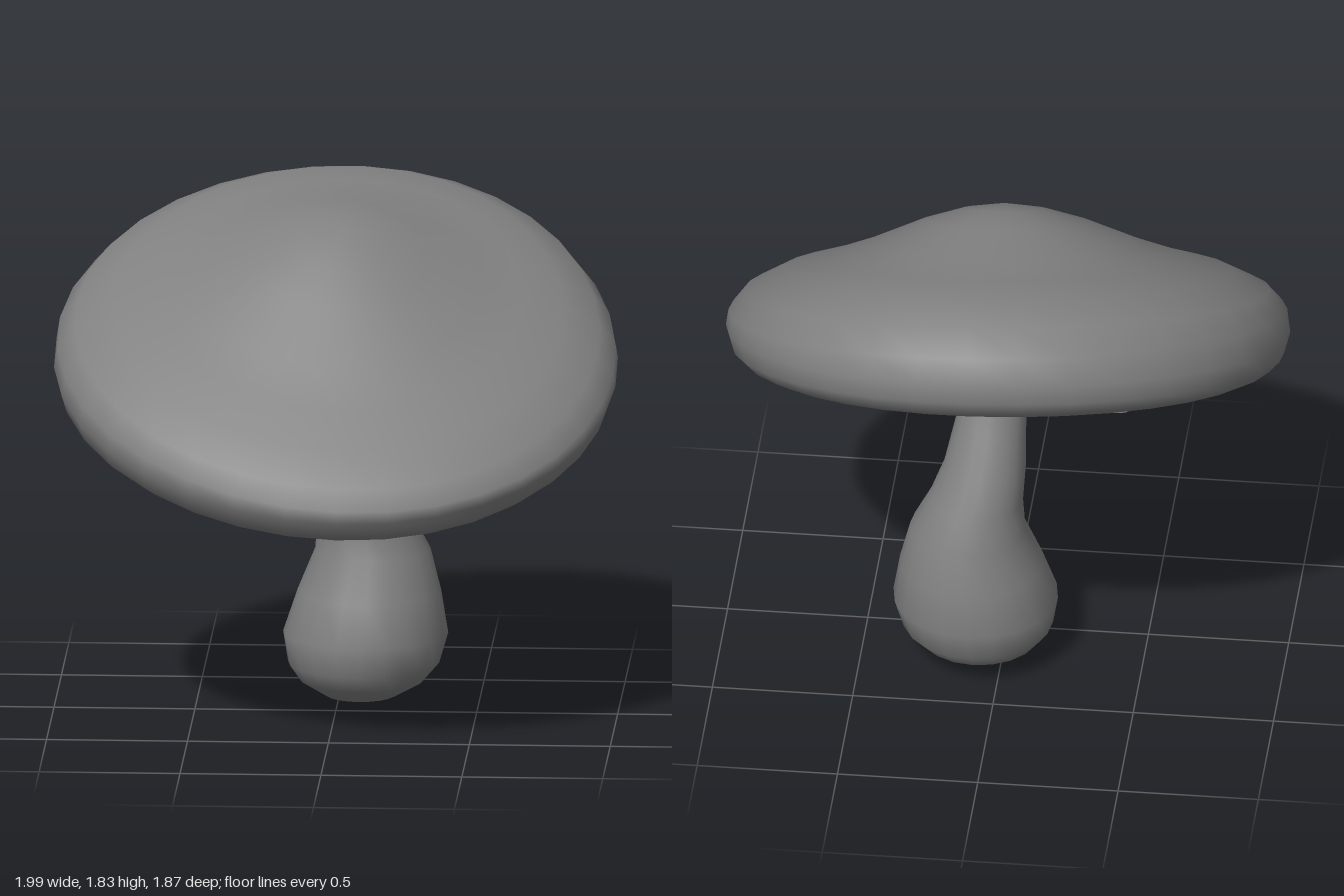
import * as THREE from 'three';
import { mergeVertices } from 'three/addons/utils/BufferGeometryUtils.js';

const material = new THREE.MeshStandardMaterial({ color: 0x808080 });
const doubleSided = new THREE.MeshStandardMaterial({ color: 0x808080, side: THREE.DoubleSide });

// Closed-around loft: point(row, angle) gives [x, y, z]
function loft(rows, columns, point) {
  const positions = [], index = [];
  for (let i = 0; i < rows; i++) {
    for (let j = 0; j < columns; j++) positions.push(...point(i, (j / columns) * Math.PI * 2));
  }
  for (let i = 0; i < rows - 1; i++) {
    for (let j = 0; j < columns; j++) {
      const k = (j + 1) % columns;
      const a = i * columns + j, b = (i + 1) * columns + j;
      const c = (i + 1) * columns + k, d = i * columns + k;
      index.push(a, b, c, a, c, d);
    }
  }
  let geometry = new THREE.BufferGeometry();
  geometry.setAttribute('position', new THREE.Float32BufferAttribute(positions, 3));
  geometry.setIndex(index);
  geometry = mergeVertices(geometry);
  geometry.computeVertexNormals();
  return geometry;
}

function part(name, geometry, mat = material) {
  const mesh = new THREE.Mesh(geometry, mat);
  mesh.name = name;
  return mesh;
}

// Cap skin: [radius, height at the front, height at the back]
const capTop = [
  [0, 0.487, 0.487], [0.15, 0.445, 0.482], [0.3, 0.385, 0.445], [0.5, 0.288, 0.365],
  [0.65, 0.222, 0.325], [0.8, 0.17, 0.285], [0.93, 0.105, 0.205], [0.99, 0.055, 0.105],
];
// Rim, lip and hollow underside: [radius, height]
const capUnder = [
  [1, 0.01], [0.98, -0.06], [0.94, -0.1], [0.89, -0.122], [0.865, -0.11], [0.5, -0.045], [0.12, 0.02],
];

function makeCap() {
  return loft(capTop.length + capUnder.length, 34, (i, angle) => {
    const sin = Math.sin(angle), cos = Math.cos(angle);
    const under = i >= capTop.length;
    const [r, front, back = front] = under ? capUnder[i - capTop.length] : capTop[i];
    // The hump sits behind the centre of the rim, and the lip hangs lower on one side
    const shift = under ? 0 : -0.11 * (1 - r);
    const sag = under ? 0.018 * r * sin : 0;
    const y = THREE.MathUtils.lerp(back, front, (1 + cos) / 2) + sag;
    return [r * (sin + 0.05 * cos * cos), y, r * cos + shift];
  });
}

// Irregular pleats from the lip in to the stem
function makeGills() {
  const rows = 8;
  return loft(rows, 120, (i, angle) => {
    const sin = Math.sin(angle), cos = Math.cos(angle);
    const t = i / (rows - 1);
    const r = THREE.MathUtils.lerp(0.88, 0.13, t);
    const wave = 0.5 * Math.sin(13 * angle) + 0.3 * Math.sin(21 * angle + 1) + 0.3 * Math.sin(6 * angle + 2);
    const y = THREE.MathUtils.lerp(-0.1, 0, t) + 0.03 * wave * (1 - t) + 0.018 * r * sin;
    return [r * (sin + 0.05 * cos * cos), y, r * cos];
  });
}

// Stem sections from top to bottom: [y, centre x, centre z, radius]
const stemSections = [
  [1.28, 0.03, 0.03, 0], [1.28, 0.03, 0.03, 0.13], [1.18, 0.035, -0.005, 0.125],
  [1.08, 0.045, -0.035, 0.122], [0.95, 0.05, -0.095, 0.125], [0.8, 0.065, -0.15, 0.145],
  [0.67, 0.095, -0.182, 0.168], [0.55, 0.122, -0.19, 0.205], [0.4, 0.11, -0.182, 0.255],
  [0.25, 0.097, -0.17, 0.293], [0.14, 0.09, -0.165, 0.268], [0.08, 0.085, -0.16, 0.22],
  [0.025, 0.08, -0.155, 0.125], [0, 0.08, -0.15, 0],
];

function makeStem() {
  return loft(stemSections.length, 20, (i, angle) => {
    const [y, x, z, r] = stemSections[i];
    return [x + r * Math.sin(angle), y, z + r * Math.cos(angle)];
  });
}

export function createModel() {
  const model = new THREE.Group();
  model.name = 'mushroom';

  // Cap and gills tilt forward together
  const head = new THREE.Group();
  head.name = 'head';
  head.position.set(0, 1.26, 0);
  head.rotation.set(0.38, 0, -0.045);
  head.add(part('cap', makeCap(), doubleSided), part('gills', makeGills(), doubleSided));

  model.add(head, part('stem', makeStem()));
  return model;
}
